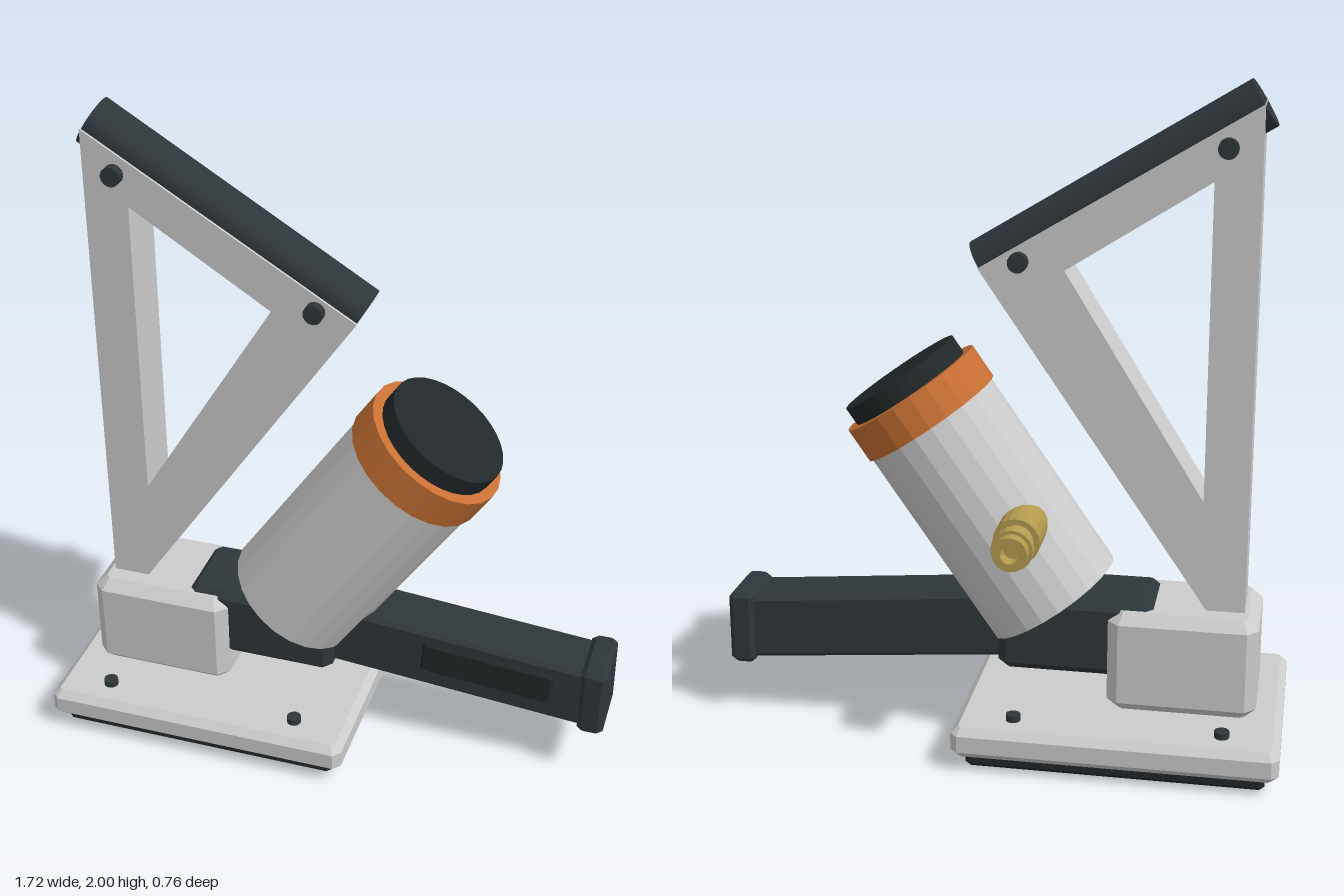
import * as THREE from 'three';

const ZC = 0.01; // shared symmetry plane of the tool

const mat = (color) => new THREE.MeshStandardMaterial({ color, flatShading: true });

// Box with every edge chamfered by c, centred on the origin
function chamferBox(w, h, d, c) {
  const x = w / 2 - c, z = d / 2 - c, k = c * 0.414;
  const shape = new THREE.Shape([
    [x - k, -z], [x, -z + k], [x, z - k], [x - k, z],
    [-x + k, z], [-x, z - k], [-x, -z + k], [-x + k, -z],
  ].map(([a, b]) => new THREE.Vector2(a, b)));
  const geo = new THREE.ExtrudeGeometry(shape, {
    depth: h - 2 * c, bevelEnabled: true, bevelSegments: 1, bevelSize: c, bevelThickness: c,
  });
  return geo.translate(0, 0, -(h / 2 - c)).rotateX(-Math.PI / 2);
}

export function createModel() {
  const model = new THREE.Group();
  const grey = mat(0xcccccc);
  const dark = mat(0x2f363a);
  const rubber = mat(0x222729);
  const orange = mat(0xc87034);
  const brass = mat(0xb39a50);

  const add = (name, geo, material, x, y, z = ZC, parent = model) => {
    const mesh = new THREE.Mesh(geo, material);
    mesh.name = name;
    mesh.position.set(x, y, z);
    parent.add(mesh);
    return mesh;
  };

  // Base plate with rubber foot, screws and mounting block
  add('rubberFoot', chamferBox(0.88, 0.05, 0.66, 0.012), rubber, -0.38, 0.025);
  add('basePlate', chamferBox(0.96, 0.095, 0.735, 0.022), grey, -0.38, 0.0875);
  for (const x of [-0.69, -0.075]) {
    for (const z of [-0.272, 0.272]) {
      add('baseScrew', new THREE.CylinderGeometry(0.022, 0.022, 0.04, 16), dark, x, 0.135, ZC + z);
    }
  }
  add('mountingBlock', chamferBox(0.445, 0.315, 0.335, 0.033), grey, -0.558, 0.29);

  // Triangular handle frame
  const outline = new THREE.Shape([
    [-0.735, 0.42], [-0.64, 0.42], [0.065, 1.452], [-0.735, 1.935],
  ].map(([x, y]) => new THREE.Vector2(x, y)));
  outline.holes.push(new THREE.Path([
    [-0.603, 0.785], [-0.603, 1.72], [-0.187, 1.455],
  ].map(([x, y]) => new THREE.Vector2(x, y))));
  const frameGeo = new THREE.ExtrudeGeometry(outline, { depth: 0.165, bevelEnabled: false });
  add('handleFrame', frameGeo.translate(0, 0, -0.0825), grey, 0, 0);

  // Round grip along the sloping top, with its cross pins
  const a = new THREE.Vector2(-0.7325, 1.9325), b = new THREE.Vector2(0.0625, 1.45);
  const gripGeo = new THREE.CylinderGeometry(0.075, 0.075, a.distanceTo(b), 32);
  const gripMat = dark.clone();
  gripMat.flatShading = false;
  const grip = add('grip', gripGeo, gripMat, (a.x + b.x) / 2, (a.y + b.y) / 2);
  grip.rotation.z = Math.atan2(b.y - a.y, b.x - a.x) - Math.PI / 2;
  for (const [x, y] of [[-0.64, 1.815], [-0.055, 1.477]]) {
    add('gripPin', new THREE.CylinderGeometry(0.029, 0.029, 0.222, 20).rotateX(Math.PI / 2), dark, x, y);
  }

  // Tilted canister: body, collar and cap stacked on one axis
  const canister = new THREE.Group();
  canister.name = 'canister';
  canister.position.set(-0.153, 0.4275, ZC);
  canister.rotation.z = -THREE.MathUtils.degToRad(34.7);
  model.add(canister);
  const ring = (name, r, y0, y1, sides, m) =>
    add(name, new THREE.CylinderGeometry(r, r, y1 - y0, sides), m, 0, (y0 + y1) / 2, 0, canister);
  ring('canisterBody', 0.217, 0, 0.7, 24, grey);
  ring('canisterCollar', 0.226, 0.664, 0.774, 24, orange);
  ring('canisterCap', 0.193, 0.75, 0.832, 32, rubber);

  // Stepped hose fitting on the back of the canister, with an open bore
  const fitting = [
    [0, 0], [0.069, 0], [0.069, 0.18], [0.052, 0.18], [0.052, 0.22], [0.061, 0.22],
    [0.061, 0.253], [0.051, 0.253], [0.051, 0.287], [0.028, 0.287], [0.028, 0.24], [0, 0.24],
  ].map(([r, y]) => new THREE.Vector2(r, y));
  add('hoseFitting', new THREE.LatheGeometry(fitting, 20).rotateX(-Math.PI / 2), brass, -0.086, 0.704, -0.1);

  // Barrel: housing, sloping beam, side panel and end cap
  add('barrelHousing', chamferBox(0.475, 0.235, 0.265, 0.025), dark, -0.2375, 0.3475);
  const barrel = new THREE.Group();
  barrel.name = 'barrel';
  barrel.position.set(0.4, 0.3205, ZC);
  barrel.rotation.z = -0.0875;
  model.add(barrel);
  add('barrelBeam', chamferBox(0.88, 0.2, 0.185, 0.012), dark, -0.03, 0, 0, barrel);
  add('sidePanel', chamferBox(0.41, 0.105, 0.03, 0.008), rubber, 0.086, 0.014, 0.09, barrel);
  add('barrelEndCap', chamferBox(0.08, 0.232, 0.212, 0.015), dark, 0.815, 0.286);

  return model;
}
